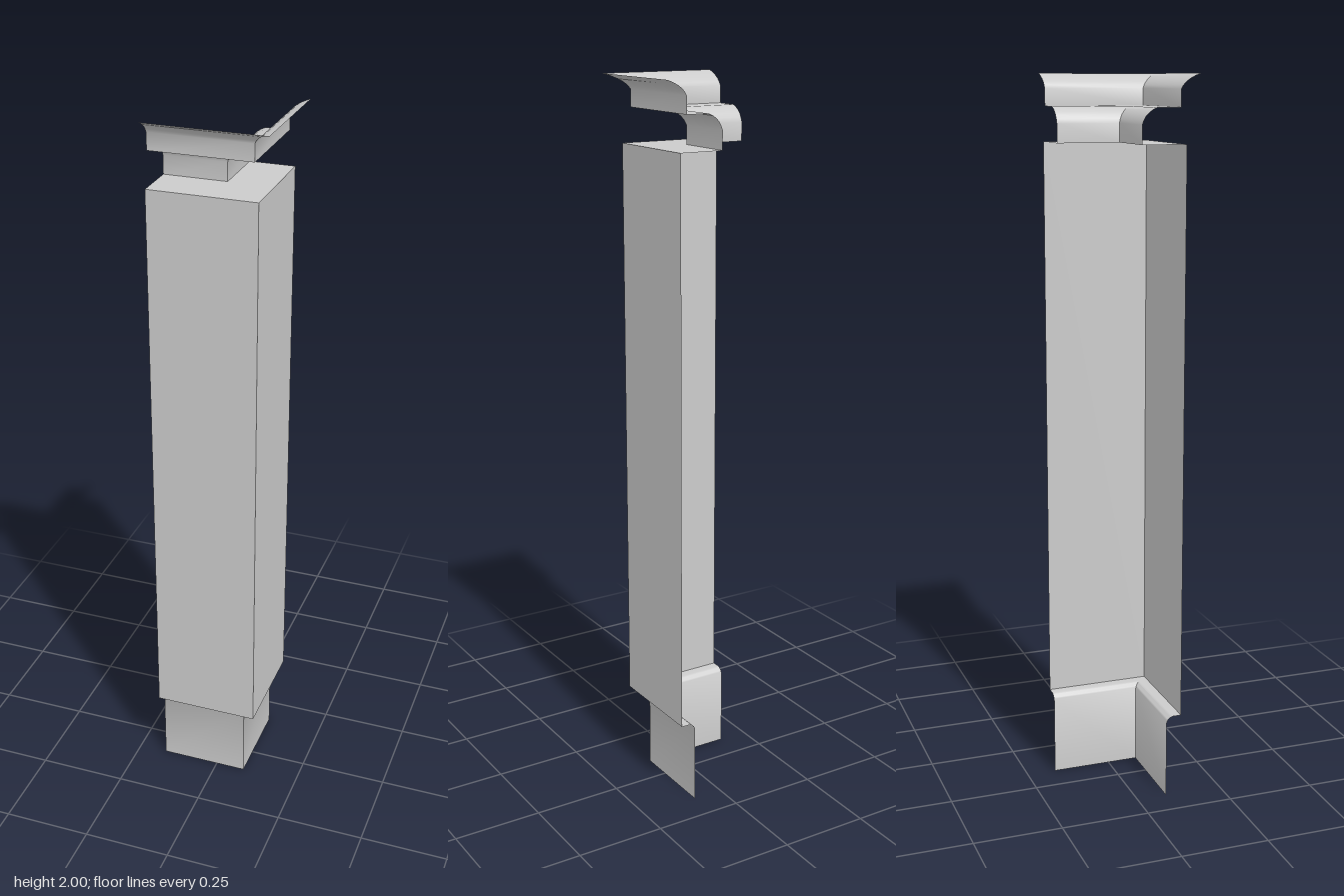
import * as THREE from 'three';
import { toCreasedNormals } from 'three/addons/utils/BufferGeometryUtils.js';

const END = 0.167; // where both open ends of the corner stop

// Points along a shallow cove; each point is [offset from centre, height]
function cove(from, control, to, steps = 5) {
  const curve = new THREE.QuadraticBezierCurve(
    new THREE.Vector2(...from), new THREE.Vector2(...control), new THREE.Vector2(...to));
  return curve.getPoints(steps).map((p) => [p.x, p.y]);
}

// Sweeps a profile around the mitred L: along the front, then along the left side
function mitredSheet(profile) {
  const positions = [];
  const index = [];
  for (const [d, y] of profile) positions.push(-END, y, d, d, y, d, d, y, -END);
  for (let i = 0; i < profile.length - 1; i++) {
    for (let j = 0; j < 2; j++) {
      const a = i * 3 + j;
      index.push(a, a + 1, a + 4, a, a + 4, a + 3);
    }
  }
  const geometry = new THREE.BufferGeometry();
  geometry.setAttribute('position', new THREE.Float32BufferAttribute(positions, 3));
  geometry.setIndex(index);
  return toCreasedNormals(geometry, 0.6);
}

export function createModel() {
  const group = new THREE.Group();
  group.name = 'cornerPilaster';
  const material = new THREE.MeshStandardMaterial({ color: 0xcccccc, side: THREE.DoubleSide });

  const parts = {
    // narrow foot with a small cove under the shaft
    foot: [[0.086, 0], ...cove([0.086, 0.222], [0.089, 0.236], [0.104, 0.24]), [0.129, 0.24]],
    // tall plain shaft and its flat top
    shaft: [[0.129, 0.24], [0.129, 1.822], [0.006, 1.822]],
    // recessed neck, coved out to a ledge
    neck: [[0.006, 1.822], ...cove([0.006, 1.872], [0.014, 1.903], [0.047, 1.915]), [0.112, 1.915]],
    // upright band flaring out to the top edge
    cornice: [[0.112, 1.915], ...cove([0.112, 1.961], [0.122, 1.985], [0.166, 2])],
  };
  for (const [name, profile] of Object.entries(parts)) {
    const mesh = new THREE.Mesh(mitredSheet(profile), material);
    mesh.name = name;
    group.add(mesh);
  }
  return group;
}
